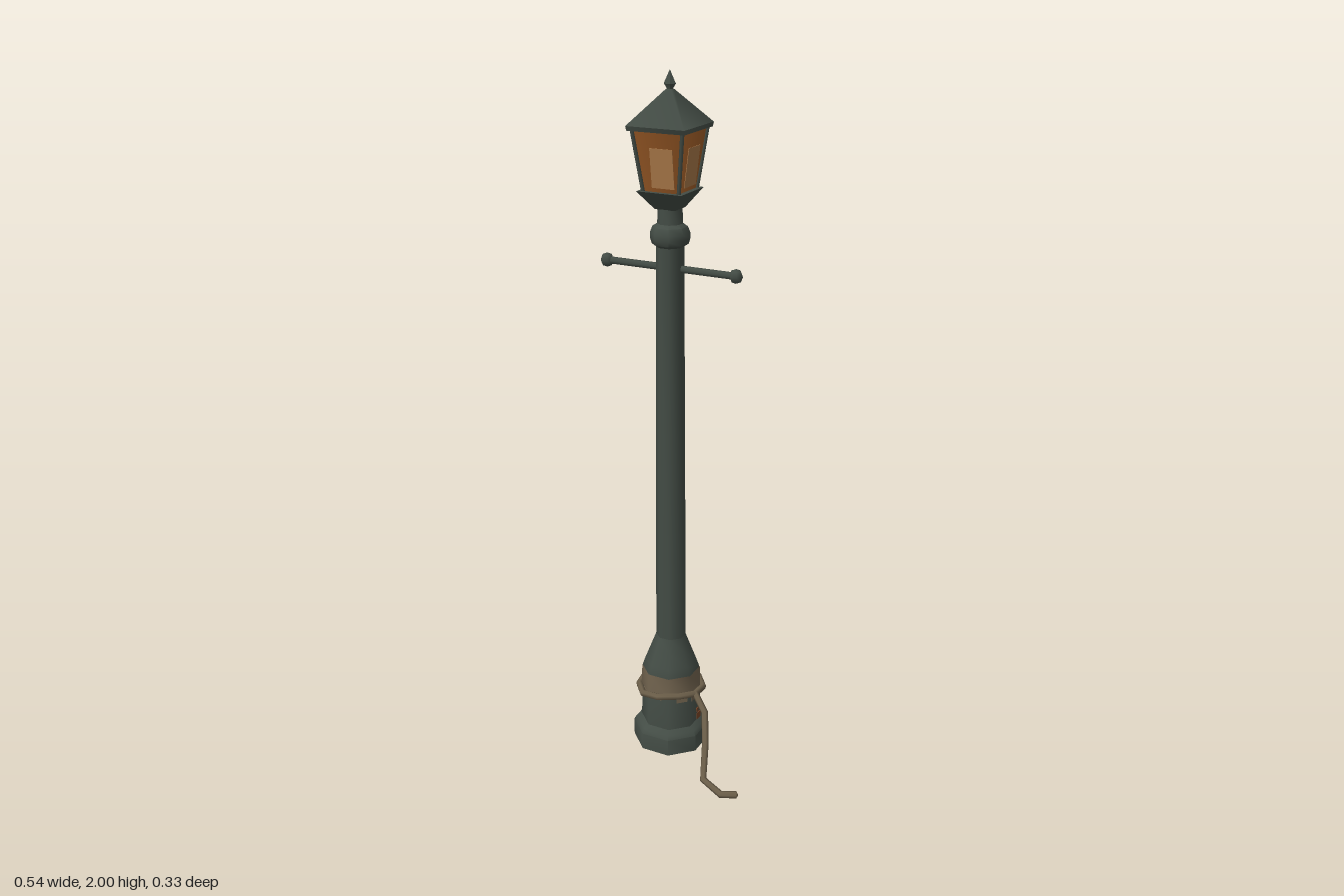
import * as THREE from 'three';
import { toCreasedNormals } from 'three/addons/utils/BufferGeometryUtils.js';

const V = (x, y, z) => new THREE.Vector3(x, y, z);
const mat = (name, color, side = THREE.FrontSide) => {
  const m = new THREE.MeshStandardMaterial({ color, side });
  m.name = name;
  return m;
};

// Straight-segment path whose samples fall exactly on its corners
class Polyline extends THREE.Curve {
  constructor(points) { super(); this.points = points; }
  getPoint(t, target = new THREE.Vector3()) {
    const n = this.points.length - 1, i = Math.min(Math.floor(t * n + 1e-6), n - 1);
    return target.lerpVectors(this.points[i], this.points[i + 1], t * n - i);
  }
  getPointAt(t, target) { return this.getPoint(t, target); }
  getTangentAt(t, target = new THREE.Vector3()) {
    const p = this.points, i = Math.round(t * (p.length - 1));
    const a = p[Math.max(i - 1, 0)], b = p[i], c = p[Math.min(i + 1, p.length - 1)];
    const d1 = b.clone().sub(a).normalize(), d2 = c.clone().sub(b).normalize();
    return target.copy(d1).add(d2).normalize();
  }
}

export function createModel() {
  const iron = mat('iron', 0x434c45, THREE.DoubleSide);
  const glass = mat('amber glass', 0x9a5a26);
  const glow = mat('pale glass', 0xa87748);
  const bandTan = mat('tan band', 0x72644f);
  const ropeTan = mat('rope', 0x6b5e49);
  const rust = mat('rust', 0x7a4426);

  const model = new THREE.Group();
  const lamp = new THREE.Group();
  lamp.name = 'streetLamp';
  lamp.position.set(-0.053, 0, -0.06);
  model.add(lamp);

  const add = (name, geo, m, parent = lamp) => {
    const mesh = new THREE.Mesh(geo, m);
    mesh.name = name;
    parent.add(mesh);
    return mesh;
  };
  // Profiles list [distance to the flat side, height]
  const turned = (profile, sides) => {
    const k = 1 / Math.cos(Math.PI / sides);
    const pts = profile.map(([r, y]) => new THREE.Vector2(r * k, y));
    return toCreasedNormals(new THREE.LatheGeometry(pts, sides, Math.PI / sides), 0.85);
  };
  const square = (bottom, top, y0, y1, open = false) =>
    new THREE.CylinderGeometry(top * Math.SQRT2, bottom * Math.SQRT2, y1 - y0, 4, 1, open, Math.PI / 4)
      .translate(0, (y0 + y1) / 2, 0);
  const rod = (a, b, r, sides = 6) => {
    const d = b.clone().sub(a);
    const g = new THREE.CylinderGeometry(r, r, d.length(), sides);
    g.applyQuaternion(new THREE.Quaternion().setFromUnitVectors(V(0, 1, 0), d.normalize()));
    const c = a.clone().add(b).multiplyScalar(0.5);
    return g.translate(c.x, c.y, c.z);
  };

  // Pedestal, shaft and neck
  add('pedestal', turned([[0.105, 0], [0.105, 0.052], [0.098, 0.065], [0.083, 0.075],
    [0.079, 0.25], [0.071, 0.275], [0.055, 0.32], [0.041, 0.36]], 8), iron);
  add('shaft', turned([[0.041, 0.355], [0.035, 1.56]], 8), iron);
  add('collar', turned([[0.034, 1.542], [0.046, 1.55], [0.05, 1.565], [0.05, 1.58],
    [0.044, 1.597], [0.032, 1.605], [0.03, 1.66]], 8), iron);
  add('lanternCup', square(0.03, 0.066, 1.645, 1.695), iron);

  // Tan band with an uneven lower edge
  add('band', turned([[0.082, 0.183], [0.081, 0.25]], 8), bandTan);
  for (let i = 0; i < 8; i++) {
    const pivot = new THREE.Group();
    pivot.name = 'bandDrip';
    pivot.rotation.y = i * Math.PI / 4;
    lamp.add(pivot);
    const h = 0.012 + 0.008 * (i % 3);
    add('drip', new THREE.BoxGeometry(0.034, h, 0.003).translate(i % 2 ? 0.008 : -0.006, 0.184 - h / 2, 0.0815), bandTan, pivot);
  }

  // Rust flecks
  for (const [y, z, s] of [[0.085, -0.02, 0.022], [0.108, -0.014, 0.012]])
    add('rustFleck', new THREE.BoxGeometry(0.003, s, s).translate(0.0832, y, z), rust);

  // Ladder bar with faceted knobs
  add('crossbar', rod(V(-0.195, 1.483, 0), V(0.195, 1.483, 0), 0.01), iron);
  for (const s of [-1, 1])
    add('crossbarKnob', new THREE.SphereGeometry(0.02, 6, 4).translate(s * 0.195, 1.483, 0), iron);

  // Lantern
  add('lanternGlass', square(0.052, 0.073, 1.695, 1.86, true), glass);
  const slope = Math.atan2(0.021, 0.165);
  for (let i = 0; i < 4; i++) {
    const side = new THREE.Group();
    side.name = 'lanternSide';
    side.rotation.y = i * Math.PI / 2;
    lamp.add(side);
    add('lanternPost', rod(V(0.052, 1.69, 0.052), V(0.074, 1.862, 0.074), 0.006, 4), iron, side);
    const pane = add('paneGlow', new THREE.BoxGeometry(0.066, 0.105, 0.002), glow, side);
    pane.position.set(0.008, 1.758, 0.0605);
    pane.rotation.x = slope;
  }
  add('roofRim', square(0.083, 0.085, 1.852, 1.864), iron);
  add('roof', square(0.085, 0.008, 1.864, 1.952), iron);
  add('finial', turned([[0.009, 1.94], [0.007, 1.952], [0.015, 1.966], [0.009, 1.98], [0.0005, 2]], 6), iron);

  // Rope looped round the pedestal, its free end trailing to the ground
  const path = [];
  for (let i = 0; i <= 10; i++) {
    const a = 0.25 + i * Math.PI / 5;
    path.push(V(-0.053 + Math.cos(a) * 0.097, 0.187 + 0.01 * Math.sin(a * 2 - 0.4), -0.06 + Math.sin(a) * 0.097));
  }
  path.push(V(0.095, 0.163, 0.008), V(0.122, 0.095, 0.058), V(0.146, 0.014, 0.12),
    V(0.22, 0.011, 0.157), V(0.262, 0.011, 0.138));
  add('rope', new THREE.TubeGeometry(new Polyline(path), path.length - 1, 0.0105, 6), ropeTan, model);
  const end = path[path.length - 1];
  add('ropeEnd', new THREE.SphereGeometry(0.0095, 6, 4).translate(end.x - 0.004, end.y, end.z + 0.002), ropeTan, model);

  return model;
}
